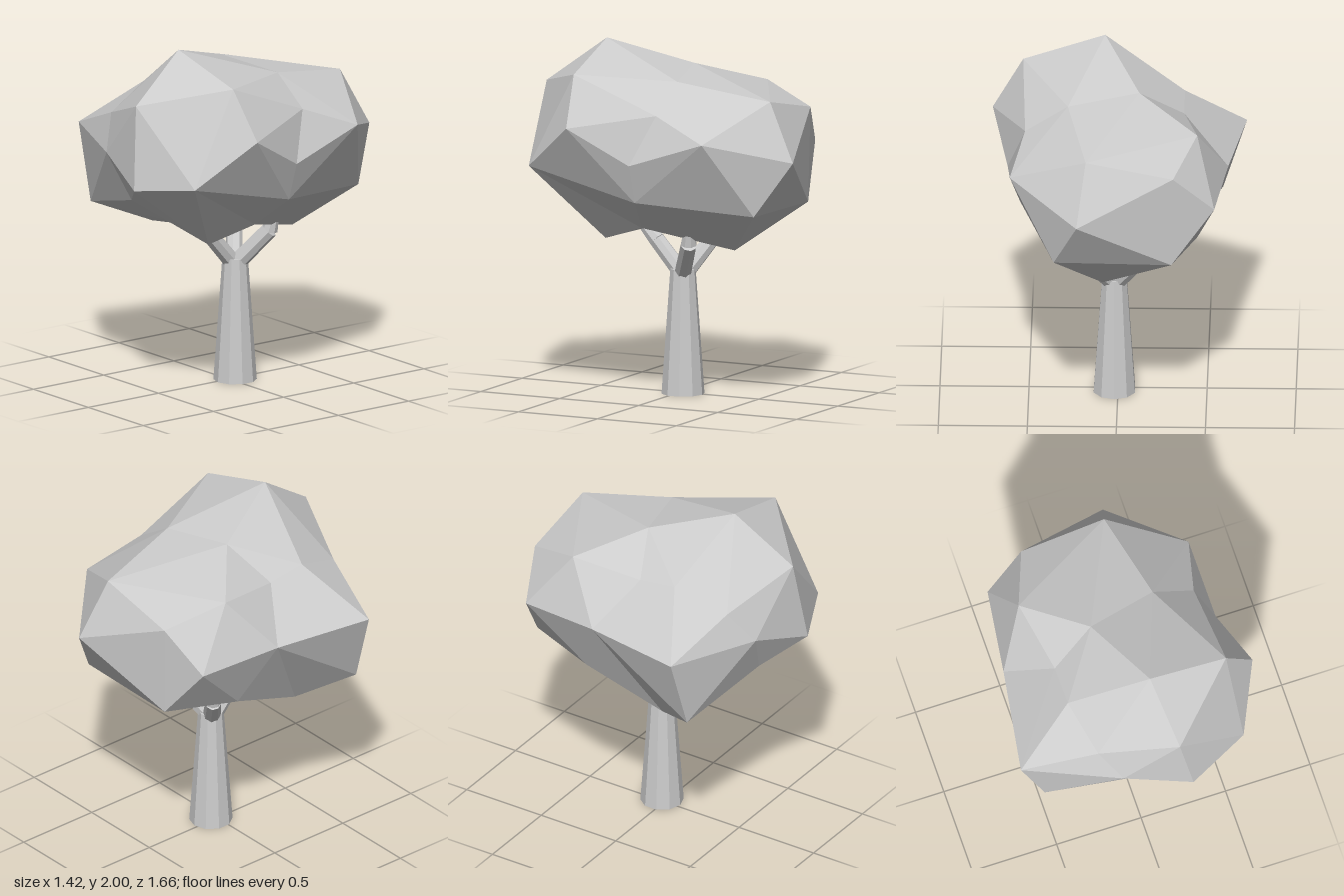
import * as THREE from 'three';
import { ConvexGeometry } from 'three/addons/geometries/ConvexGeometry.js';

const V = (x, y, z) => new THREE.Vector3(x, y, z);
const material = new THREE.MeshStandardMaterial({ color: 0xcccccc, flatShading: true });

// Corner points of the crown, layer by layer
const CROWN = [
  // top
  [0.08, 2, 0.42], [0.54, 1.86, 0.39], [-0.12, 1.86, -0.03], [0.28, 1.82, -0.13],
  // shoulders
  [0.14, 1.74, 0.77], [-0.37, 1.71, 0.31], [-0.37, 1.68, 0.08], [-0.45, 1.74, -0.32],
  [-0.32, 1.63, -0.66], [0.17, 1.73, -0.66], [0.52, 1.66, -0.12], [-0.29, 1.59, 0.61],
  // widest part
  [0.71, 1.58, 0.35], [0.55, 1.32, 0.67], [0.2, 1.27, 0.83], [-0.18, 1.4, 0.73],
  [-0.715, 1.43, 0.51], [-0.62, 1.43, -0.08], [-0.55, 1.4, -0.57], [0.22, 1.4, -0.83],
  [0.6, 1.53, -0.45], [0.62, 1.38, 0],
  // underside
  [0.55, 1.16, 0], [0.35, 1.1, -0.65], [-0.31, 1.09, -0.65], [-0.45, 1.06, -0.23],
  [-0.58, 1, 0.53], [-0.04, 1.14, 0.66], [0.25, 0.89, 0.34], [-0.39, 0.88, 0.24],
  [0.08, 0.85, -0.39], [0.33, 0.98, 0.07], [-0.01, 0.96, 0.35], [0, 0.98, 0.02],
];

// Facets the points as a sphere around the centre, then pushes each corner to its real place
function crownGeometry() {
  const centre = V(0, 1.35, 0);
  const points = CROWN.map((p) => V(...p));
  const directions = points.map((p) => p.clone().sub(centre).normalize());
  const geometry = new ConvexGeometry(directions);
  const position = geometry.attributes.position;
  const corner = V(0, 0, 0);
  for (let i = 0; i < position.count; i++) {
    corner.fromBufferAttribute(position, i);
    let best = 0;
    directions.forEach((d, k) => {
      if (d.dot(corner) > directions[best].dot(corner)) best = k;
    });
    position.setXYZ(i, points[best].x, points[best].y, points[best].z);
  }
  geometry.computeVertexNormals();
  return geometry;
}

// Tapered pieces following a bent path
function limb(name, path, radii, sides) {
  const group = new THREE.Group();
  group.name = name;
  for (let i = 0; i < path.length - 1; i++) {
    const axis = path[i + 1].clone().sub(path[i]);
    const piece = new THREE.Mesh(
      new THREE.CylinderGeometry(radii[i + 1], radii[i], axis.length(), sides), material);
    piece.name = name + 'Piece';
    piece.position.copy(path[i]).addScaledVector(axis, 0.5);
    piece.quaternion.setFromUnitVectors(V(0, 1, 0), axis.normalize());
    group.add(piece);
  }
  return group;
}

export function createModel() {
  const tree = new THREE.Group();
  tree.name = 'tree';

  const crown = new THREE.Mesh(crownGeometry(), material);
  crown.name = 'crown';
  tree.add(crown);

  tree.add(limb('trunk', [V(0.02, 0, -0.03), V(0.02, 0.71, -0.03)], [0.122, 0.072], 10));

  // Three branches fork from the trunk into the crown: one forward, two to the back corners
  tree.add(limb('frontBranch',
    [V(0.01, 0.69, -0.01), V(0.01, 0.86, 0.14), V(0.01, 0.94, 0.22)], [0.05, 0.047, 0.035], 8));
  tree.add(limb('leftBranch',
    [V(0.04, 0.69, -0.04), V(0.18, 0.88, -0.15), V(0.2, 0.96, -0.16)], [0.05, 0.047, 0.033], 8));
  tree.add(limb('rightBranch',
    [V(0, 0.69, -0.04), V(-0.13, 0.87, -0.14), V(-0.15, 0.97, -0.16)], [0.05, 0.045, 0.033], 8));

  return tree;
}
